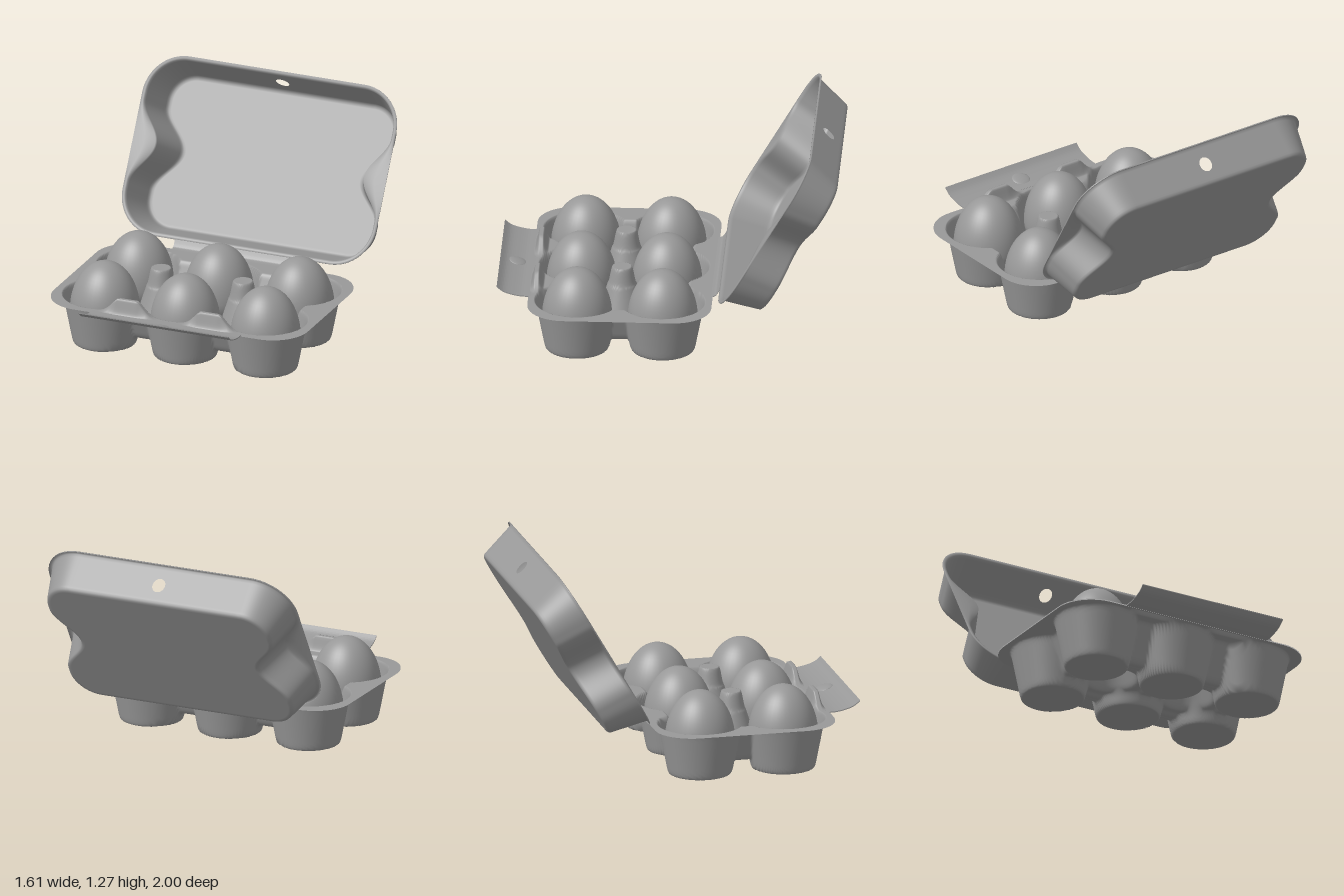
import * as THREE from 'three';

const material = new THREE.MeshStandardMaterial({ color: 0x989898, side: THREE.DoubleSide });
const EDGE = 48, ARC = 18;

function mesh(name, geometry) {
  const m = new THREE.Mesh(geometry, material);
  m.name = name;
  return m;
}

// Rounded rectangle as a loop of [x, z]: for each side a straight edge, then a corner arc
function outline(hx, hz, r) {
  const pts = [], a = hx - r, b = hz - r;
  const corners = [[-a, -b], [a, -b], [a, b], [-a, b]];
  for (let s = 0; s < 4; s++) {
    const [x0, z0] = corners[s], [x1, z1] = corners[(s + 1) % 4];
    const start = -Math.PI / 2 + s * Math.PI / 2;
    const ox = r * Math.cos(start), oz = r * Math.sin(start);
    for (let i = 0; i < EDGE; i++) {
      const t = i / EDGE;
      pts.push([x0 + (x1 - x0) * t + ox, z0 + (z1 - z0) * t + oz]);
    }
    for (let i = 0; i < ARC; i++) {
      const ang = start + (i / ARC) * Math.PI / 2;
      pts.push([x1 + r * Math.cos(ang), z1 + r * Math.sin(ang)]);
    }
  }
  return pts;
}

// Skin over closed loops of [x, y, z] points; skip(ring, i) leaves a cell open
function loft(rings, skip = () => false) {
  const n = rings[0].length, index = [];
  for (let j = 0; j < rings.length - 1; j++) {
    for (let i = 0; i < n; i++) {
      if (skip(j, i)) continue;
      const k = (i + 1) % n, a = j * n + i, b = j * n + k, c = a + n, d = b + n;
      index.push(a, c, b, b, c, d);
    }
  }
  const g = new THREE.BufferGeometry();
  g.setAttribute('position', new THREE.Float32BufferAttribute(rings.flat(2), 3));
  g.setIndex(index);
  g.computeVertexNormals();
  return g;
}

// Height rules for the moulded tray, z measured from the tray centre
const RIM = 0.3, CUP_X = [-0.51, 0, 0.51], CUP_Z = [-0.25, 0.25];
const line = (d, d0, y0, d1, y1) => y0 + (d - d0) * (y1 - y0) / (d1 - d0);
function softMin(a, b, k) {
  const h = Math.max(k - Math.abs(a - b), 0) / k;
  return Math.min(a, b) - h * h * k / 4;
}
const softMax = (a, b, k) => -softMin(-a, -b, k);
function bump(t) {
  return Math.abs(t) < 1 ? Math.cos(t * Math.PI / 2) ** 2 : 0;
}
const channel = (d, width) => softMax(line(d, 0.04, 0.06, width, RIM), 0.066, 0.05);

function trayHeight(x, z) {
  const ax = Math.abs(x);
  let h;
  if (ax < 0.51 && Math.abs(z) < 0.25) {
    // posts standing between four cups
    const d = Math.hypot(ax - 0.26, z);
    h = d < 0.085 ? 0.41 - 0.11 * THREE.MathUtils.smoothstep(d, 0.055, 0.085)
      : softMax(0.08, 0.3 - (d - 0.085) * 3.2, 0.04);
  } else {
    // flat rim with two humps along the front
    const across = Math.min(1, 1.4 * bump((ax - 0.26) / 0.18));
    h = RIM + 0.09 * across * Math.min(1, 1.25 * bump((z - 0.495) / 0.0425));
  }
  // channels joining neighbouring cups
  const cx = Math.max(0, ax - 0.51);
  for (const zc of CUP_Z) h = softMin(h, channel(Math.hypot(cx, z - zc), 0.14), 0.03);
  const cz = Math.max(0, Math.abs(z) - 0.25);
  for (const xc of CUP_X) h = softMin(h, channel(Math.hypot(x - xc, cz), 0.125), 0.03);
  // tapered cups
  for (const xc of CUP_X) for (const zc of CUP_Z) {
    h = softMin(h, line(Math.hypot(x - xc, z - zc), 0.187, 0, 0.245, RIM), 0.035);
  }
  return softMax(0.003, h, 0.035);
}

function makeTray() {
  const loop = outline(0.805, 0.5375, 0.22), steps = 140, e = 0.003;
  // turned-down lip, then the moulded surface towards the centre
  const rings = [loop.map(([x, z]) => [x, RIM - 0.007, z])];
  for (let j = steps; j >= 0; j--) {
    const s = Math.max(0.001, j / steps);
    rings.push(loop.map(([x, z]) => [x * s, trayHeight(x * s, z * s), z * s]));
  }
  const g = loft(rings), pos = g.attributes.position, n = new THREE.Vector3();
  // exact normals from the slope of the height rule
  for (let i = 0; i < pos.count; i++) {
    const x = pos.getX(i), z = pos.getZ(i);
    n.set(trayHeight(x - e, z) - trayHeight(x + e, z), 2 * e, trayHeight(x, z - e) - trayHeight(x, z + e));
    n.normalize();
    g.attributes.normal.setXYZ(i, n.x, n.y, n.z);
  }
  const tray = mesh('tray', g);
  tray.position.z = 0.2775;
  return tray;
}

// Lid, modelled open side up with the hinge at +z
function makeLid() {
  const lid = new THREE.Group();
  lid.name = 'lid';
  const section = (inset, y, notch) => outline(0.805 - inset, 0.537 - inset, 0.25 - inset)
    .map(([x, z]) => [x - (Math.abs(x) > 0.4 ? Math.sign(x) * notch * bump(z / 0.25) : 0), y, z]);
  const rings = [
    section(0, -0.007, 0), section(0, 0, 0), section(0.012, -0.001, 0.06), section(0.022, -0.004, 0.12),
    section(0.0262, -0.02, 0.122), section(0.074, -0.2, 0.143), section(0.078, -0.215, 0.145),
    section(0.083, -0.228, 0.145), section(0.094, -0.235, 0.145), section(0.108, -0.235, 0.145)
  ];
  rings.push(rings[9].map(([x, y, z]) => [x * 0.001, y, z * 0.001]));
  const lo = EDGE / 2 - 4, hi = EDGE / 2 + 4;
  lid.add(mesh('lidShell', loft(rings, (j, i) => j === 4 && i >= lo && i < hi)));

  // latch panel with a real hole, fitted in the end wall
  const top = rings[4][lo], low = rings[5][lo], w = Math.abs(top[0]);
  const len = Math.hypot(top[1] - low[1], top[2] - low[2]);
  const shape = new THREE.Shape([[-w, 0], [w, 0], [w, len], [-w, len]].map(p => new THREE.Vector2(...p)));
  shape.holes.push(new THREE.Path().absellipse(0, len * 0.45, 0.04, 0.044, 0, Math.PI * 2, true));
  const panel = mesh('latchPanel', new THREE.ShapeGeometry(shape, 24));
  panel.position.set(0, low[1], low[2]);
  panel.rotation.x = Math.atan2(top[2] - low[2], top[1] - low[1]);
  lid.add(panel);

  lid.position.set(0, 0.808, -0.57);
  lid.rotation.x = 1.043;
  return lid;
}

// Thin card bent along a [z, y] path and extruded across x
function strip(name, halfWidth, path) {
  const curve = new THREE.SplineCurve(path.map(p => new THREE.Vector2(...p)));
  const upper = curve.getPoints(20);
  const lower = upper.map(p => new THREE.Vector2(p.x, p.y - 0.006)).reverse();
  const g = new THREE.ExtrudeGeometry(new THREE.Shape([...upper, ...lower]), {
    depth: halfWidth * 2, bevelEnabled: false
  });
  g.translate(0, 0, -halfWidth);
  g.rotateY(-Math.PI / 2);
  return mesh(name, g);
}

function makeEgg() {
  const profile = [];
  for (let i = 0; i <= 32; i++) {
    const a = -Math.PI / 2 + (i / 32) * Math.PI;
    const y = 0.2 + Math.sin(a) * (a > 0 ? 0.3 : 0.185);
    profile.push(new THREE.Vector2(Math.max(0, 0.205 * Math.cos(a)), y));
  }
  return new THREE.LatheGeometry(profile, 40);
}

export function createModel() {
  const model = new THREE.Group();
  model.name = 'eggCarton';
  model.add(makeTray(), makeLid());
  model.add(strip('hinge', 0.42, [[-0.25, 0.3], [-0.272, 0.304], [-0.285, 0.318], [-0.302, 0.347]]));
  model.add(strip('latchTab', 0.475, [[0.8, 0.301], [0.86, 0.303], [0.92, 0.315], [0.965, 0.332], [1.0, 0.36]]));

  // shallow button on the tab
  const button = mesh('latchButton', new THREE.SphereGeometry(0.055, 24, 8, 0, Math.PI * 2, 0, Math.PI / 2));
  button.scale.y = 0.2;
  button.position.set(0, 0.309, 0.9);
  button.rotation.x = -0.25;
  model.add(button);

  const egg = makeEgg();
  for (const x of CUP_X) for (const z of CUP_Z) {
    const e = mesh('egg', egg);
    e.position.set(x, 0, z + 0.2775);
    model.add(e);
  }
  return model;
}
